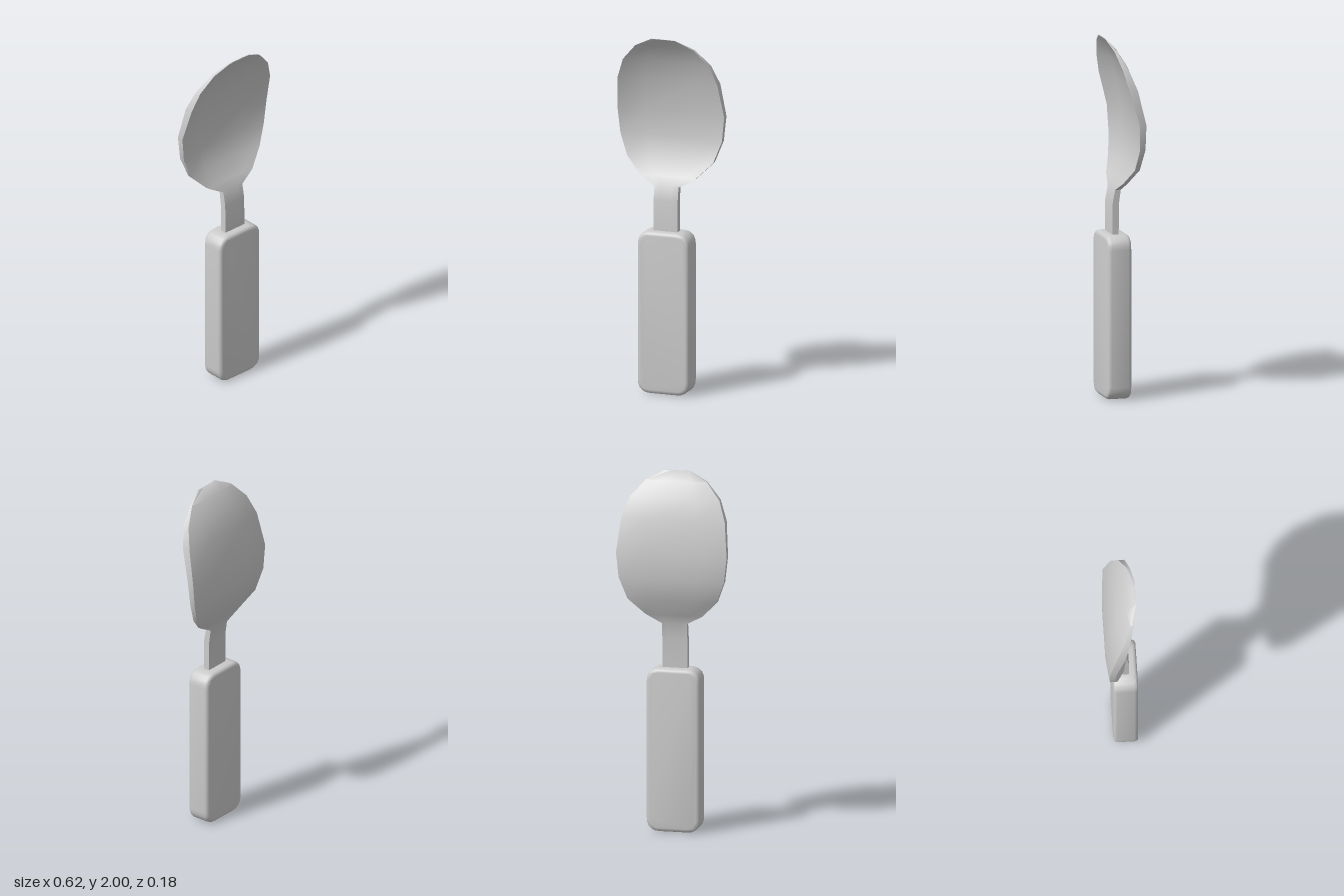
import * as THREE from 'three';
import { toCreasedNormals } from 'three/addons/utils/BufferGeometryUtils.js';

const material = new THREE.MeshStandardMaterial({ color: 0xcccccc });

// Handle: a rounded slab with a soft bevel
function createHandle() {
  const bevel = 0.02, w = 0.15 - bevel, y0 = 0.005 + bevel, y1 = 0.917 - bevel, r = 0.055;
  const s = new THREE.Shape();
  s.moveTo(-w + r, y0);
  s.lineTo(w - r, y0);
  s.quadraticCurveTo(w, y0, w, y0 + r);
  s.lineTo(w, y1 - r);
  s.quadraticCurveTo(w, y1, w - r, y1);
  s.lineTo(-w + r, y1);
  s.quadraticCurveTo(-w, y1, -w, y1 - r);
  s.lineTo(-w, y0 + r);
  s.quadraticCurveTo(-w, y0, -w + r, y0);
  const geo = new THREE.ExtrudeGeometry(s, {
    depth: 0.135 - 2 * bevel, bevelEnabled: true, bevelSize: bevel,
    bevelThickness: bevel, bevelSegments: 3, curveSegments: 5,
  });
  geo.translate(0, -0.005, -0.045 + bevel);
  const mesh = new THREE.Mesh(toCreasedNormals(geo, 0.7), material);
  mesh.name = 'handle';
  return mesh;
}

// Neck and bowl: one loft of eight-point cross-sections
function createBowl() {
  // y, half width, rim front z, middle front z, rim back z, middle back z
  const rows = [
    [0.88, 0.07, 0.045, 0.045, 0.008, 0.008],
    [1.08, 0.07, 0.043, 0.043, 0.007, 0.007],
    [1.16, 0.07, 0.028, 0.026, -0.004, -0.005],
    [1.21, 0.16, 0.01, -0.002, -0.015, -0.022],
    [1.30, 0.25, -0.03, -0.052, -0.057, -0.07],
    [1.42, 0.295, -0.045, -0.073, -0.076, -0.091],
    [1.56, 0.31, -0.04, -0.075, -0.077, -0.091],
    [1.75, 0.29, 0.012, -0.04, -0.035, -0.056],
    [1.86, 0.25, 0.038, -0.005, 0.005, -0.02],
    [1.95, 0.17, 0.062, 0.04, 0.045, 0.03],
    [2.00, 0.07, 0.083, 0.081, 0.077, 0.075],
  ];
  const n = 8, pos = [], index = [];
  for (const [y, w, rf, mf, rb, mb] of rows) {
    const m = w * 0.5;
    pos.push(-w, y, rf, -m, y, mf, m, y, mf, w, y, rf);
    pos.push(w, y, rb, m, y, mb, -m, y, mb, -w, y, rb);
  }
  for (let i = 0; i < rows.length - 1; i++) {
    for (let j = 0; j < n; j++) {
      const a = i * n + j, b = i * n + (j + 1) % n;
      index.push(a, b, b + n, a, b + n, a + n);
    }
  }
  // Closed tip and foot, as strips between front and back edges
  const t = (rows.length - 1) * n;
  for (let j = 0; j < 3; j++) {
    const a = j, b = j + 1, c = 6 - j, d = 7 - j;
    index.push(t + a, t + b, t + c, t + a, t + c, t + d);
    index.push(a, c, b, a, d, c);
  }
  const geo = new THREE.BufferGeometry();
  geo.setAttribute('position', new THREE.Float32BufferAttribute(pos, 3));
  geo.setIndex(index);
  const mesh = new THREE.Mesh(toCreasedNormals(geo, 0.85), material);
  mesh.name = 'bowlAndNeck';
  return mesh;
}

export function createModel() {
  const group = new THREE.Group();
  group.name = 'spoon';
  group.add(createHandle(), createBowl());
  return group;
}
